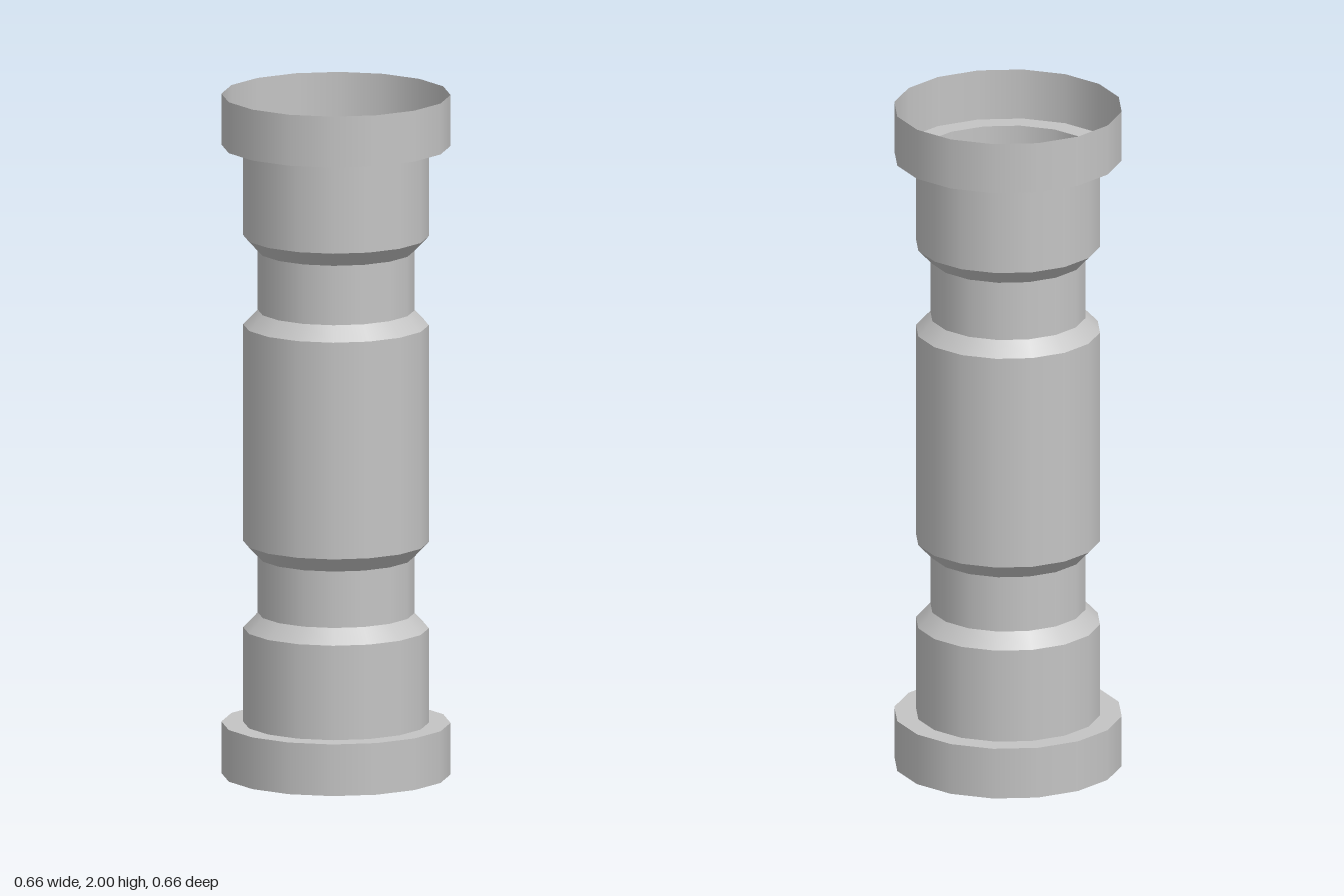
import * as THREE from 'three';

const SIDES = 16;
const FLANGE = 0.331, BODY = 0.268, NECK = 0.226;

// Open, thin-walled profile from the bottom up: [name, radius, height]; each name labels the band above its point
const PROFILE = [
  ['bottomFlange', FLANGE, 0],
  ['bottomLedge', FLANGE, 0.152],
  ['lowerSleeve', BODY, 0.152],
  ['lowerSleeveChamfer', BODY, 0.43],
  ['lowerNeck', NECK, 0.474],
  ['bodyLowerChamfer', NECK, 0.64],
  ['body', BODY, 0.684],
  ['bodyUpperChamfer', BODY, 1.322],
  ['upperNeck', NECK, 1.365],
  ['upperSleeveChamfer', NECK, 1.54],
  ['upperSleeve', BODY, 1.584],
  ['topLedge', BODY, 1.85],
  ['topFlange', FLANGE, 1.85],
  ['topRim', FLANGE, 2],
];

export function createModel() {
  const model = new THREE.Group();
  model.name = 'hollowColumn';
  const grey = new THREE.MeshStandardMaterial({ color: 0xc4c4c4, side: THREE.DoubleSide });
  grey.name = 'grey';

  // One lathe per band: smooth around the tube, sharp between bands
  for (let i = 0; i < PROFILE.length - 1; i++) {
    const [name, r0, y0] = PROFILE[i];
    const [, r1, y1] = PROFILE[i + 1];
    const points = [new THREE.Vector2(r0, y0), new THREE.Vector2(r1, y1)];
    const band = new THREE.Mesh(new THREE.LatheGeometry(points, SIDES), grey);
    band.name = name;
    model.add(band);
  }
  return model;
}
